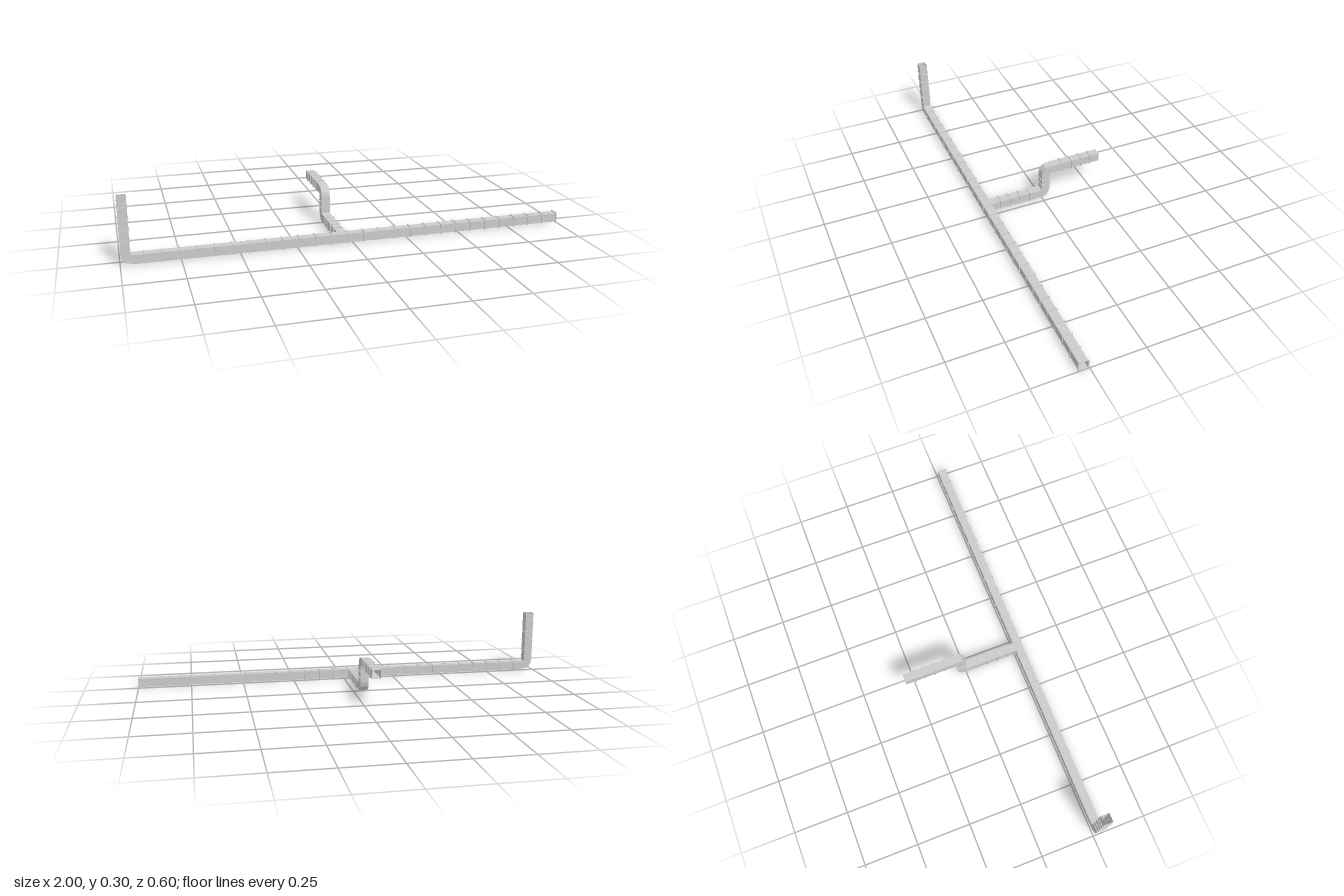
import * as THREE from 'three';

const metal = new THREE.MeshStandardMaterial({ color: 0xcccccc, flatShading: true, side: THREE.DoubleSide });
const H = 0.02;     // half width of the duct
const F = 0.0235;   // half width of a joint flange
const AXIS = 0.0235; // height of the floor-level duct axis

// Open rectangular duct: paired outlines in the xy plane (right and left of travel), spread along z
function duct(name, right, left) {
  const rings = right.map(([ax, ay], i) => {
    const [bx, by] = left[i];
    return [[ax, ay, H], [bx, by, H], [bx, by, -H], [ax, ay, -H]];
  });
  const pos = [];
  for (let i = 0; i < rings.length - 1; i++) {
    for (let k = 0; k < 4; k++) {
      const n = (k + 1) % 4;
      const a = rings[i][k], b = rings[i + 1][k], c = rings[i + 1][n], d = rings[i][n];
      pos.push(...a, ...b, ...c, ...a, ...c, ...d);
    }
  }
  const geo = new THREE.BufferGeometry();
  geo.setAttribute('position', new THREE.Float32BufferAttribute(pos, 3));
  geo.computeVertexNormals();
  const mesh = new THREE.Mesh(geo, metal);
  mesh.name = name;
  return mesh;
}

// Square outline used for the flange frame
function square(path, h) {
  path.moveTo(-h, -h);
  path.lineTo(h, -h);
  path.lineTo(h, h);
  path.lineTo(-h, h);
  path.closePath();
  return path;
}
const frame = square(new THREE.Shape(), F);
frame.holes.push(square(new THREE.Path(), H - 0.0005));
const flangeGeo = new THREE.ExtrudeGeometry(frame, { depth: 0.003, bevelEnabled: false });
flangeGeo.translate(0, 0, -0.0015);

// Thin joint frame around a duct running along local x or y
function flange(x, y, axis) {
  const mesh = new THREE.Mesh(flangeGeo, metal);
  mesh.name = 'jointFlange';
  mesh.position.set(x, y, 0);
  if (axis === 'x') mesh.rotation.y = Math.PI / 2;
  else mesh.rotation.x = Math.PI / 2;
  return mesh;
}

export function createModel() {
  const model = new THREE.Group();
  model.name = 'ductwork';

  // Main run: riser, elbow and long floor-level duct
  const main = new THREE.Group();
  main.name = 'mainRun';
  main.position.z = 0.2765;
  const rx = -1 + F, lo = AXIS - H, hi = AXIS + H;
  const out = rx - H, inn = rx + H;
  main.add(duct('mainDuct',
    [[out, 0.296], [out, 0.05], [out + 0.006, 0.027], [out + 0.021, lo + 0.007], [out + 0.055, lo], [1, lo]],
    [[inn, 0.296], [inn, hi + 0.006], [inn + 0.001, hi + 0.003], [inn + 0.003, hi + 0.001], [inn + 0.012, hi], [1, hi]]));
  for (let i = 0; i < 4; i++) main.add(flange(rx, 0.104 + i * 0.0487, 'y'));
  for (let i = 0; i < 27; i++) main.add(flange(0.9985 - i * 0.073, AXIS, 'x'));
  model.add(main);

  // Branch: runs back, steps up through two elbows, runs back again
  const branch = new THREE.Group();
  branch.name = 'branchRun';
  branch.position.x = -0.045;
  branch.rotation.y = Math.PI / 2; // local x points to the back
  const lo2 = 0.133, hi2 = 0.173;
  branch.add(duct('branchDuct',
    [[-0.257, lo], [-0.015, lo], [0.021, 0.01], [0.035, 0.03], [0.041, 0.052],
      [0.041, 0.127], [0.041, 0.13], [0.043, 0.132], [0.055, lo2], [0.3, lo2]],
    [[-0.257, hi], [-0.012, hi], [-0.002, hi + 0.001], [0.001, hi + 0.003], [0.001, 0.052],
      [0.001, 0.127], [0.006, 0.147], [0.021, 0.167], [0.055, hi2], [0.3, hi2]]));
  for (let i = 0; i < 4; i++) {
    branch.add(flange(-0.21 + i * 0.0487, AXIS, 'x'));
    branch.add(flange(0.106 + i * 0.0487, (lo2 + hi2) / 2, 'x'));
  }
  for (const y of [0.074, 0.103]) branch.add(flange(0.021, y, 'y'));
  model.add(branch);

  return model;
}
